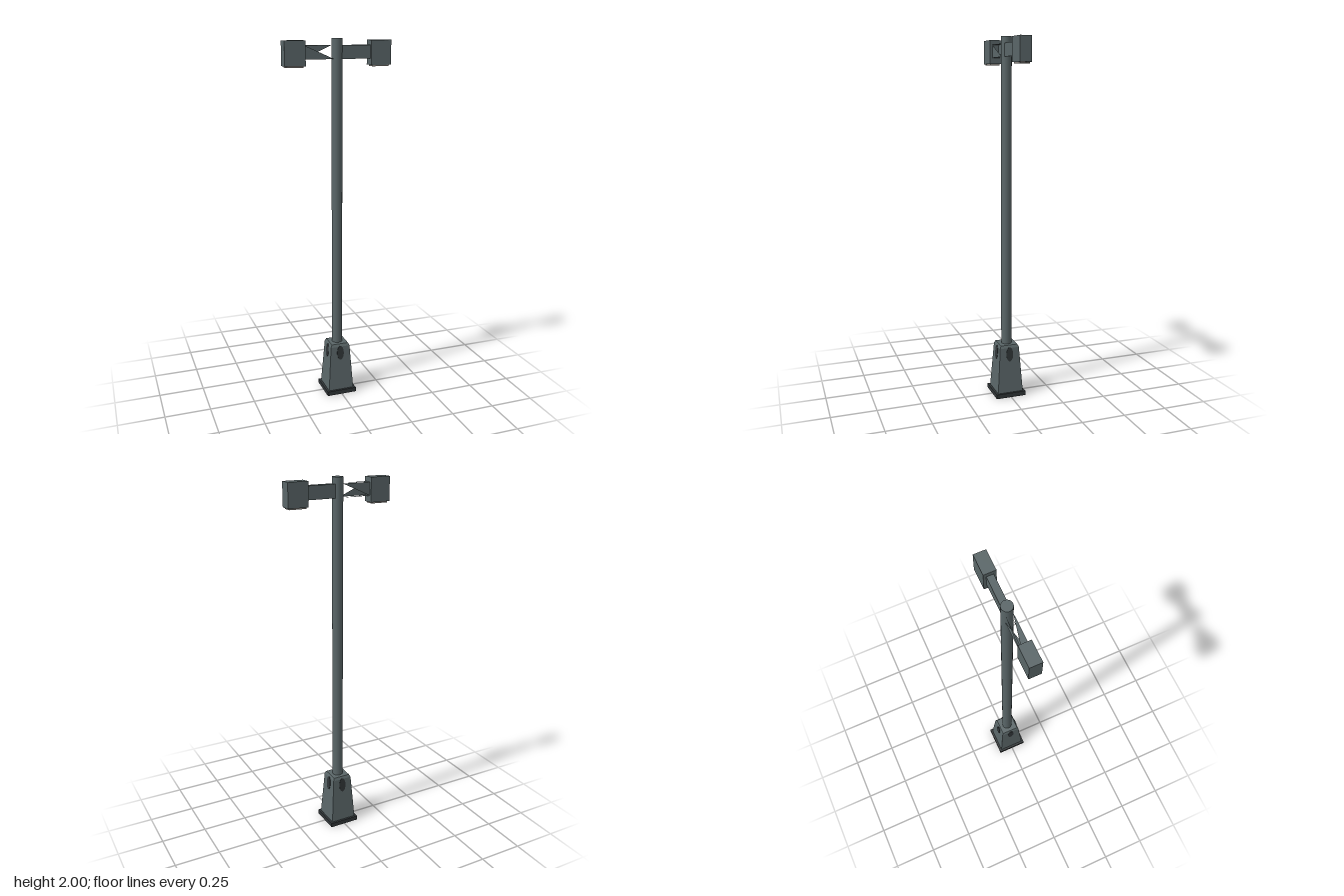
import * as THREE from 'three';

export function createModel() {
  const model = new THREE.Group();
  const mat = (name, color, extra = {}) => {
    const m = new THREE.MeshStandardMaterial({ color, ...extra });
    m.name = name;
    return m;
  };
  const steel = mat('greySteel', 0x5a6668, { side: THREE.DoubleSide });
  const dark = mat('darkIron', 0x303537);
  const glass = mat('lampGlass', 0x8a8580);

  const add = (name, geo, material, x = 0, y = 0, z = 0) => {
    const mesh = new THREE.Mesh(geo, material);
    mesh.name = name;
    mesh.position.set(x, y, z);
    model.add(mesh);
    return mesh;
  };
  const box = (name, w, h, d, material, x, y, z = 0) =>
    add(name, new THREE.BoxGeometry(w, h, d), material, x, y, z);
  // Four-sided tapered block, given half widths
  const taper = (name, top, bottom, y0, y1) => {
    const geo = new THREE.CylinderGeometry(top * Math.SQRT2, bottom * Math.SQRT2, y1 - y0, 4)
      .rotateY(Math.PI / 4).toNonIndexed();
    geo.computeVertexNormals();
    return add(name, geo, steel, 0, (y0 + y1) / 2, 0);
  };

  // Base slab and tapered pedestal with a bevelled top
  box('baseSlab', 0.172, 0.025, 0.172, dark, 0, 0.0125);
  taper('pedestal', 0.056, 0.074, 0.025, 0.285);
  taper('pedestalBevel', 0.049, 0.056, 0.285, 0.3);

  // Oval openings near the top of each pedestal face
  const lean = Math.atan(0.018 / 0.26);
  for (let i = 0; i < 4; i++) {
    const side = new THREE.Group();
    side.name = 'ovalOpening';
    side.rotation.y = (i * Math.PI) / 2;
    const oval = new THREE.Mesh(
      new THREE.CylinderGeometry(1, 1, 0.004, 24).rotateX(Math.PI / 2).scale(0.02, 0.041, 1), dark);
    oval.name = 'oval';
    oval.position.set(0, 0.248, 0.0588);
    oval.rotation.x = -lean;
    side.add(oval);
    model.add(side);
  }

  // Pole
  add('pole', new THREE.CylinderGeometry(0.029, 0.029, 1.7, 24), steel, 0, 1.15);

  // Lamp heads with glass underneath
  for (const s of [-1, 1]) {
    box('lampHead', 0.112, 0.128, 0.064, steel, s * 0.236, 1.926);
    box('lampGlass', 0.094, 0.008, 0.05, glass, s * 0.236, 1.859);
  }

  // Solid arm on the left
  const y0 = 1.895, y1 = 1.965, d = 0.018;
  box('leftArm', 0.165, y1 - y0, d * 2, steel, 0.1025, (y0 + y1) / 2);

  // Open arm on the right: each side is one triangle reaching from the lamp to a pole corner
  const corners = [[y1, -d], [y1, d], [y0, d], [y0, -d]];
  const pts = [];
  corners.forEach(([ya, za], i) => {
    const [yb, zb] = corners[(i + 1) % 4];
    pts.push(-0.182, ya, za, -0.182, yb, zb, -0.022, yb, zb);
  });
  const open = new THREE.BufferGeometry();
  open.setAttribute('position', new THREE.Float32BufferAttribute(pts, 3));
  open.computeVertexNormals();
  add('rightOpenArm', open, steel);

  return model;
}
